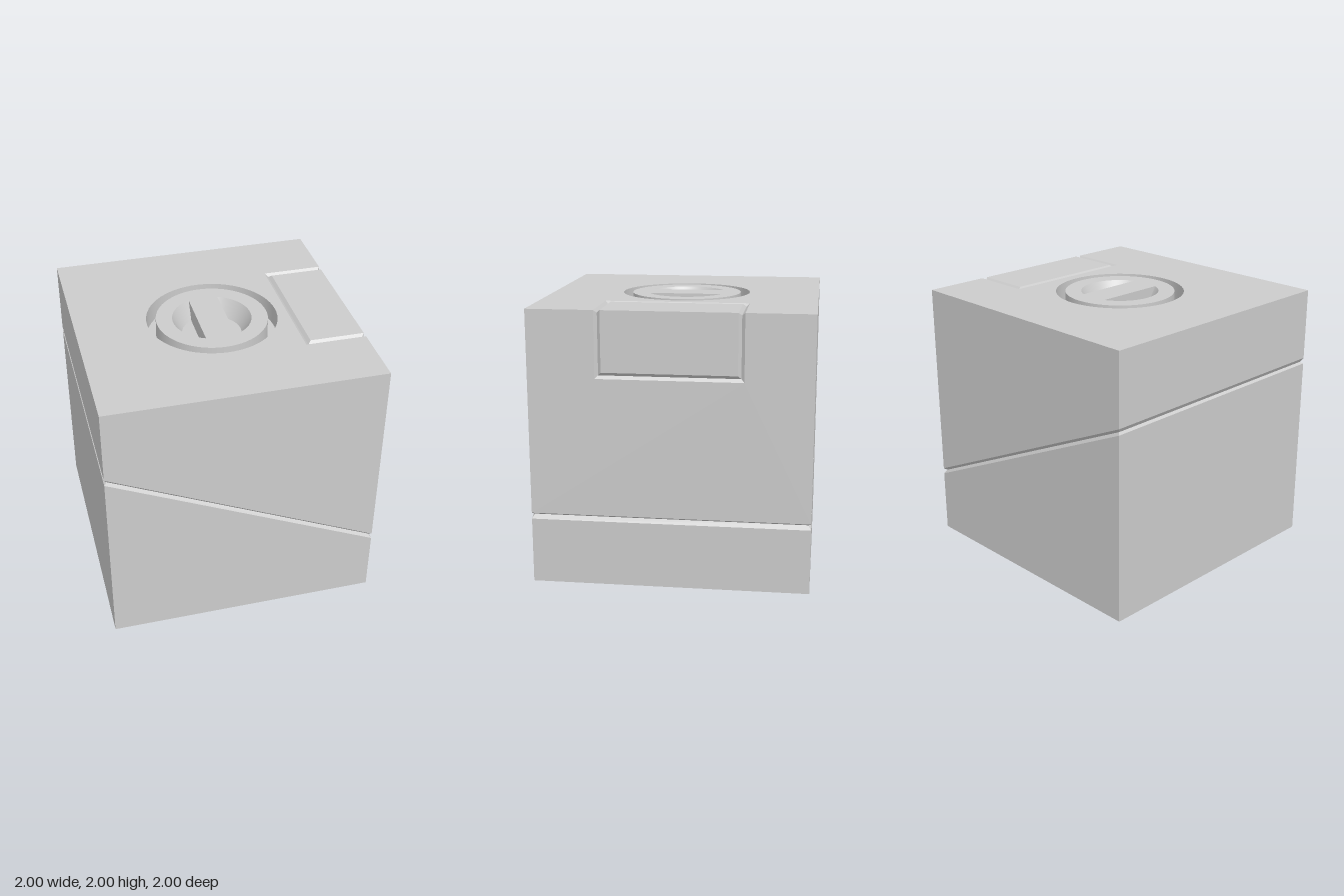
import * as THREE from 'three';
import { toCreasedNormals } from 'three/addons/utils/BufferGeometryUtils.js';

const grey = new THREE.MeshStandardMaterial({ color: 0xcccccc });

// Skin between closed loops of points, each loop running counter-clockwise seen from outside
function loft(loops) {
  const pos = [];
  for (let i = 0; i < loops.length - 1; i++) {
    const lo = loops[i], hi = loops[i + 1], n = lo.length;
    for (let j = 0; j < n; j++) {
      const k = (j + 1) % n;
      pos.push(...lo[j], ...lo[k], ...hi[k], ...lo[j], ...hi[k], ...hi[j]);
    }
  }
  const g = new THREE.BufferGeometry();
  g.setAttribute('position', new THREE.Float32BufferAttribute(pos, 3));
  return toCreasedNormals(g, 0.4);
}

// Flat face from 2D outline points and holes
function flat(points, holes = []) {
  const toV = list => list.map(([x, y]) => new THREE.Vector2(x, y));
  const s = new THREE.Shape(toV(points));
  s.holes = holes.map(h => new THREE.Path(toV(h)));
  return new THREE.ShapeGeometry(s);
}
const facingUp = (g, y) => g.rotateX(-Math.PI / 2).translate(0, y, 0);
const facingRight = g => g.rotateY(Math.PI / 2).translate(1, 0, 0);

// Arc points, cut off by a chord when a is less than PI
function arc(r, a = Math.PI, n = 64) {
  const full = a === Math.PI;
  return Array.from({ length: full ? n : n + 1 }, (_, i) => {
    const t = -a + (2 * a * i) / n;
    return [r * Math.cos(t), r * Math.sin(t)];
  });
}

export function createModel() {
  const model = new THREE.Group();
  const add = (name, geometry, parent = model) => {
    const m = new THREE.Mesh(geometry, grey);
    m.name = name;
    parent.add(m);
    return m;
  };

  const half = 0.0225, depth = 0.02;      // V-groove half width and depth
  const seam = x => 0.97 - 0.47 * x;      // sloping seam height
  const square = (s, y) => [[-s, s], [s, s], [s, -s], [-s, -s]].map(([x, z]) => [x, y(x), z]);

  // Lower block and the V seam that runs around all four sides
  add('lowerBlock', loft([square(1, () => 0), square(1, x => seam(x) - half)]));
  add('seamGroove', loft([
    square(1, x => seam(x) - half), square(1 - depth, seam), square(1, x => seam(x) + half),
  ]));
  add('bottomFace', flat([[-1, -1], [1, -1], [1, 1], [-1, 1]]).rotateX(Math.PI / 2));

  // Upper block sides
  const yL = seam(-1) + half, yR = seam(1) + half;
  const side = [[-1, yL], [1, yR], [1, 2], [-1, 2]];
  add('upperFront', flat(side).translate(0, 0, 1));
  add('upperBack', flat(side.map(([x, y]) => [-x, y])).rotateY(Math.PI).translate(0, 0, -1));
  add('upperLeftEnd', flat([[-1, yL], [1, yL], [1, 2], [-1, 2]]).rotateY(-Math.PI / 2).translate(-1, 0, 0));

  // Folded panel over the top edge: u offsets the outline, d sinks it
  const zP = 0.4975, xP = 0.5775, yP = 1.5425;
  const panelLoop = (u, d) => {
    const z = zP + u, x = xP - u, y = yP - u, X = 1 - d, Y = 2 - d;
    return [[x, Y, z], [X, Y, z], [X, y, z], [X, y, -z], [X, Y, -z], [x, Y, -z]];
  };
  add('panelGroove', loft([panelLoop(half, 0), panelLoop(0, depth), panelLoop(-half, 0)]));
  const zi = zP - half, zo = zP + half, xi = xP + half, xo = xP - half, yi = yP + half, yo = yP - half;
  add('panelTop', facingUp(flat([[xi, -zi], [1, -zi], [1, zi], [xi, zi]]), 2));
  add('panelSide', facingRight(flat([[-zi, yi], [zi, yi], [zi, 2], [-zi, 2]])));

  // Faces cut away around the panel
  add('upperRightEnd', facingRight(flat([
    [-1, yR], [1, yR], [1, 2], [zo, 2], [zo, yo], [-zo, yo], [-zo, 2], [-1, 2],
  ])));
  const rOut = 0.48, rIn = 0.41;
  add('topFace', facingUp(flat([
    [-1, -1], [1, -1], [1, -zo], [xo, -zo], [xo, zo], [1, zo], [1, 1], [-1, 1],
  ], [arc(rOut)]), 2));

  // Round knob set in a ring-shaped channel
  const knob = new THREE.Group();
  knob.name = 'knob';
  model.add(knob);
  const yRing = 1.85;
  const ring = [[rOut, 2], [rOut, yRing], [rIn, yRing], [rIn, 2]].map(p => new THREE.Vector2(...p));
  ['channelWall', 'channelFloor', 'knobSide'].forEach((name, i) =>
    add(name, new THREE.LatheGeometry([ring[i], ring[i + 1]], 64), knob));

  // Two finger pits with a straight grip bar left between them
  const bar = 0.11, rTop = 0.29, rFloor = 0.22, yPit = 1.87;
  const pit = r => arc(r, Math.acos(bar / r), 32);
  const at = (pts, y) => pts.map(([x, v]) => [x, y, -v]);
  const rim = pit(rTop);
  add('knobTop', facingUp(flat(arc(rIn), [rim, rim.map(([x, y]) => [-x, -y])]), 2), knob);
  for (const turn of [0, Math.PI]) {
    add('pitWall', loft([at(rim, 2), at(pit(rFloor), yPit)]), knob).rotation.y = turn;
    add('pitFloor', facingUp(flat(pit(rFloor)), yPit), knob).rotation.y = turn;
  }
  return model;
}
